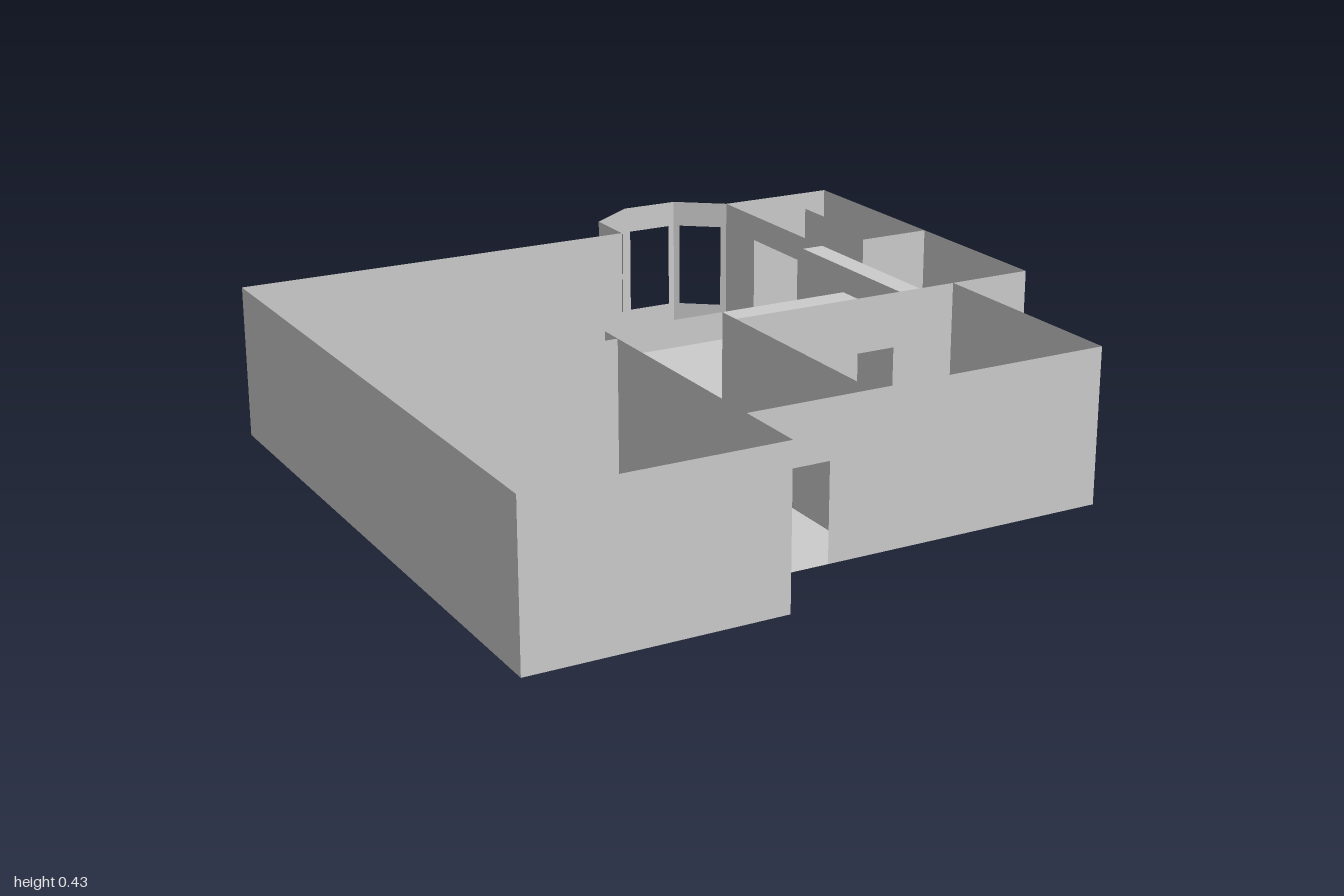
import * as THREE from 'three';

const H = 0.425; // wall height
const SILL = 0.1, HEAD = 0.35, DOOR = 0.27;

export function createModel() {
  const house = new THREE.Group();
  house.name = 'floorPlan';
  const material = new THREE.MeshStandardMaterial({ color: 0xcccccc, side: THREE.DoubleSide });

  const add = (name, geometry) => {
    const mesh = new THREE.Mesh(geometry, material);
    mesh.name = name;
    house.add(mesh);
    return mesh;
  };

  // Thin upright wall from a to b (x, z). Openings are [from, to, bottom, top]
  // measured along the wall; those with bottom 0 are doorways, in order.
  const wall = (name, a, b, openings = []) => {
    const dx = b[0] - a[0], dz = b[1] - a[1], length = Math.hypot(dx, dz);
    const shape = new THREE.Shape();
    shape.moveTo(0, 0);
    for (const [u0, u1, y0, y1] of openings) {
      if (y0 === 0) {
        shape.lineTo(u0, 0).lineTo(u0, y1).lineTo(u1, y1).lineTo(u1, 0);
      } else {
        const hole = new THREE.Path();
        hole.moveTo(u0, y0).lineTo(u0, y1).lineTo(u1, y1).lineTo(u1, y0).closePath();
        shape.holes.push(hole);
      }
    }
    shape.lineTo(length, 0).lineTo(length, H).lineTo(0, H).closePath();
    const mesh = add(name, new THREE.ShapeGeometry(shape));
    mesh.position.set(a[0], 0, a[1]);
    mesh.rotation.y = -Math.atan2(dz, dx);
  };

  // Flat horizontal sheet
  const sheet = (name, points, y) => {
    const shape = new THREE.Shape(points.map(([x, z]) => new THREE.Vector2(x, z)));
    add(name, new THREE.ShapeGeometry(shape).rotateX(Math.PI / 2)).position.y = y;
  };

  const rect = (x0, x1, z0, z1) => [[x0, z0], [x1, z0], [x1, z1], [x0, z1]];

  const block = (name, x0, x1, z0, z1, h) =>
    add(name, new THREE.BoxGeometry(x1 - x0, h, z1 - z0))
      .position.set((x0 + x1) / 2, h / 2, (z0 + z1) / 2);

  // Outer outline, clockwise from the back right corner of the plan
  const outline = [
    [-0.98, -0.75], [0.18, -0.75], [0.18, -0.9], [0.32, -1], [0.49, -1], [0.62, -0.9],
    [0.975, -0.9], [0.975, 0.15], [0.73, 0.15], [0.73, 0.795], [-0.3, 0.795],
    [-0.3, 1], [-0.98, 1],
  ];
  sheet('floor', outline, 0);

  outline.forEach((a, i) => {
    const b = outline[(i + 1) % outline.length];
    const length = Math.hypot(b[0] - a[0], b[1] - a[1]);
    if (i >= 1 && i <= 4) {
      // Bay with one window in each side
      wall('bayWindow', a, b, [[0.018, length - 0.018, SILL, HEAD]]);
    } else if (i === 9) {
      wall('frontWall', a, b, [[0.8, 0.905, 0, DOOR - 0.005]]);
    } else {
      wall('outerWall', a, b);
    }
  });

  // Partitions around the front rooms
  wall('frontLeftPartition', [-0.98, 0.15], [-0.3, 0.15]);
  wall('hallSideWall', [-0.3, 0.08], [-0.3, 0.795]);
  wall('roomDivider', [0.045, 0.08], [0.045, 0.795]);
  wall('middleWall', [0.045, 0.15], [0.73, 0.15], [[0.38, 0.495, 0, DOOR]]);

  // Hall opening, continuing as the hollow niche wall
  wall('nicheWall', [-0.3, 0.08], [0.42, 0.08], [
    [0.045, 0.345, 0, HEAD],
    [0.36, 0.46, 0.12, 0.245],
    [0.605, 0.68, 0.12, 0.245],
  ]);
  wall('nicheWallEnd', [0.42, 0.08], [0.42, 0.15]);
  sheet('nicheWallTop', rect(0.045, 0.42, 0.08, 0.15), H);

  // Hollow wall beside the kitchen, with a recess
  wall('kitchenWall', [0.555, -0.345], [0.555, 0.15], [[0.19, 0.45, 0.06, 0.2]]);
  wall('kitchenWallEnd', [0.555, -0.345], [0.62, -0.345]);
  sheet('kitchenWallTop', rect(0.555, 0.62, -0.345, 0.15), H);

  // Side rooms
  wall('sideRoomWall', [0.62, -0.9], [0.62, 0.15], [[0.17, 0.42, 0, HEAD]]);
  wall('sideRoomPartition', [0.76, -0.345], [0.975, -0.345]);
  wall('sideRoomScreen', [0.8, -0.73], [0.8, -0.48]);

  // Fittings
  block('island', 0.135, 0.43, -0.405, -0.02, 0.1);
  block('cabinet', 0.53, 0.555, -0.34, -0.2, 0.25);

  return house;
}
